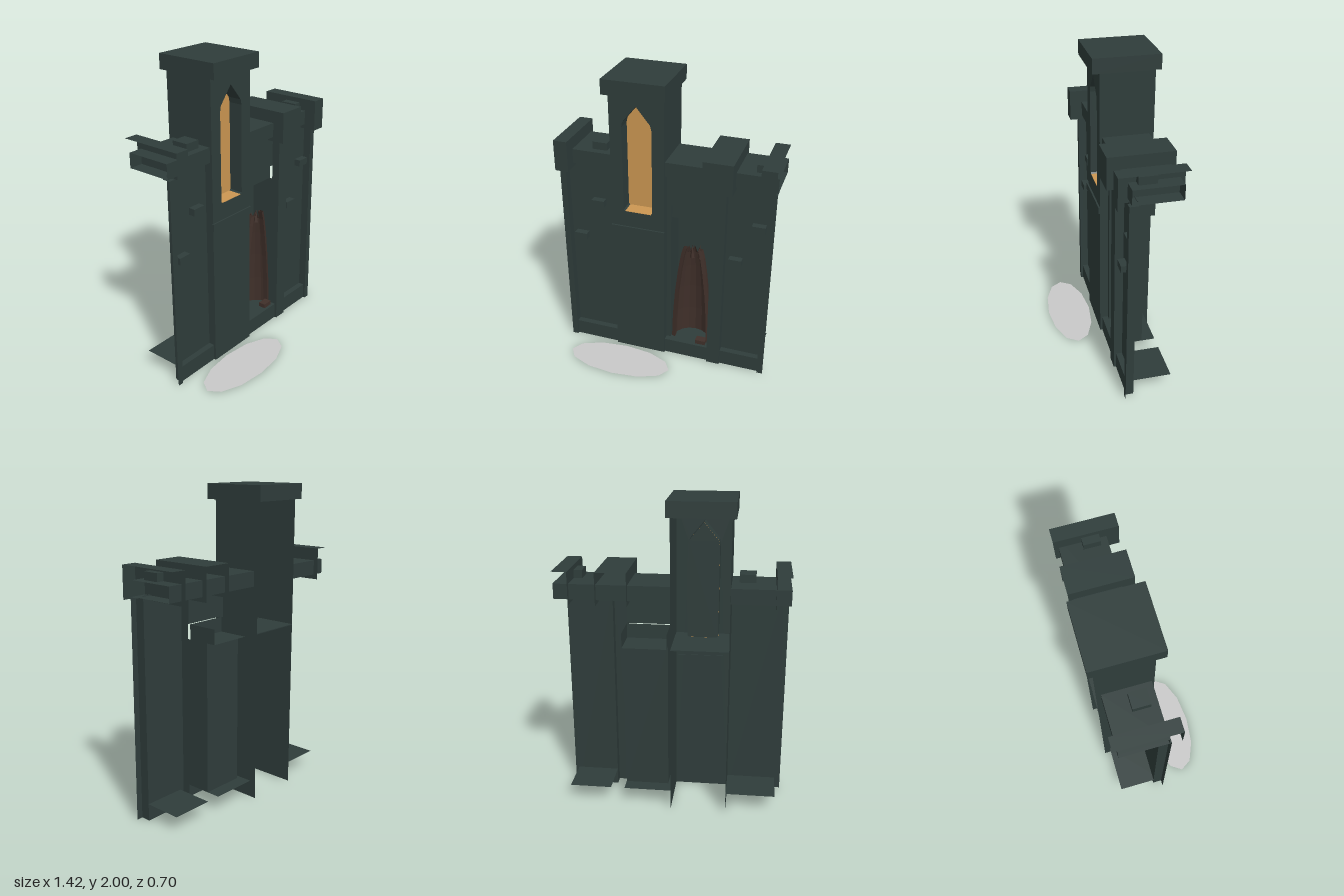
import * as THREE from 'three';

const mat = (name, color) => {
  const m = new THREE.MeshStandardMaterial({ color, side: THREE.DoubleSide });
  m.name = name;
  return m;
};

const SIDES = ['right', 'left', 'top', 'bottom', 'front', 'back'];

// Box given by its limits; sides listed in "open" are left out (+x is "right" here)
function boxGeo([x0, x1], [y0, y1], [z0, z1], open = []) {
  const g = new THREE.BoxGeometry(x1 - x0, y1 - y0, z1 - z0);
  g.translate((x0 + x1) / 2, (y0 + y1) / 2, (z0 + z1) / 2);
  const old = Array.from(g.index.array);
  g.setIndex(old.filter((_, i) => !open.includes(SIDES[Math.floor(i / 6)])));
  g.clearGroups();
  return g;
}

// Pointed window outline
function windowPoints() {
  return [[-0.265, 1.11], [-0.09, 1.11], [-0.08, 1.12], [-0.08, 1.69], [-0.088, 1.725],
    [-0.178, 1.835], [-0.268, 1.725], [-0.275, 1.69], [-0.275, 1.12]]
    .map(([x, y]) => new THREE.Vector2(x, y));
}

// Surface through rows of points
function loft(rows) {
  const n = rows[0].length, pos = rows.flat(2), idx = [];
  for (let r = 0; r < rows.length - 1; r++) {
    for (let i = 0; i < n - 1; i++) {
      const a = r * n + i, b = a + n;
      idx.push(a, a + 1, b + 1, a, b + 1, b);
    }
  }
  const g = new THREE.BufferGeometry();
  g.setAttribute('position', new THREE.Float32BufferAttribute(pos, 3));
  g.setIndex(idx);
  const flat = g.toNonIndexed();
  flat.computeVertexNormals();
  return flat;
}

export function createModel() {
  const model = new THREE.Group();
  const stone = mat('dark stone', 0x2f3d3b);
  const glow = mat('warm window', 0xcc9752);
  const wood = mat('brown wood', 0x40302a);
  const grey = mat('pale grey', 0xc9c9c9);

  const add = (name, geo, material) => {
    const m = new THREE.Mesh(geo, material);
    m.name = name;
    model.add(m);
    return m;
  };
  const box = (name, x, y, z, open, material = stone) => add(name, boxGeo(x, y, z, open), material);

  // Thin wall faces, open behind
  const wallZ = [-0.036, -0.03];
  box('leftBayWall', [-0.67, -0.355], [0, 1.4], wallZ);
  box('rightBayWall', [0.4, 0.67], [0, 1.4], wallZ);
  box('wallOverAlcove', [0, 0.31], [1.175, 1.4], wallZ);
  box('alcoveJamb', [0, 0.03], [0.11, 1.175], wallZ);

  // Plinths: front and top only
  for (const x of [[-0.67, -0.355], [0, 0.31], [0.4, 0.67]]) {
    box('plinth', x, [0, 0.11], [-0.28, 0.01], ['left', 'right', 'bottom', 'back']);
  }

  // Pilasters
  box('outerPilaster', [-0.71, -0.67], [0, 1.39], [-0.03, 0.025], ['left', 'back', 'bottom']);
  box('middlePilaster', [0.31, 0.4], [0, 1.39], [-0.03, 0.025], ['back', 'bottom']);
  box('outerPilaster', [0.67, 0.71], [0, 1.39], [-0.03, 0.025], ['right', 'back', 'bottom']);

  // Cornices
  for (const x of [[-0.71, -0.355], [0, 0.71]]) {
    box('cornice', x, [1.395, 1.49], [-0.29, 0.01], ['left', 'right']);
  }

  // Battlements, open below and behind
  const by = [1.365, 1.57], bz = [-0.32, 0.09];
  box('endMerlon', [-0.71, -0.62], by, bz, ['left', 'bottom', 'back']);
  box('middleMerlon', [0.26, 0.45], by, bz, ['bottom', 'back']);
  box('endMerlon', [0.615, 0.71], by, bz, ['right', 'bottom', 'back']);
  for (const x of [-0.45, 0.612]) {
    box('topStone', [x - 0.05, x + 0.05], [1.485, 1.54], [-0.147, -0.037], ['bottom']);
  }

  // Projecting wall stones
  for (const [x, y] of [[-0.462, 1.1], [-0.598, 0.83], [0.47, 0.83], [0.608, 1.1]]) {
    box('wallStone', [x - 0.043, x + 0.043], [y, y + 0.045], [-0.03, 0.015], ['back']);
  }

  // Tower: front with window hole, sides, inner floor, band and cap
  const front = new THREE.Shape([[-0.355, 0], [0, 0], [0, 1.92], [-0.355, 1.92]]
    .map(([x, y]) => new THREE.Vector2(x, y)));
  front.holes.push(new THREE.Path(windowPoints().reverse()));
  add('towerFront', new THREE.ShapeGeometry(front).translate(0, 0, 0.025), stone);
  box('towerSides', [-0.355, 0], [0, 1.92], [-0.32, 0.025], ['top', 'bottom', 'front', 'back']);
  box('towerFloor', [-0.355, 0], [1.1, 1.105], [-0.32, 0.02]);
  box('towerBand', [-0.36, 0.002], [0.952, 1.0], [0.02, 0.036], ['back']);
  box('towerCap', [-0.38, 0.022], [1.905, 2], [-0.35, 0.075], ['bottom']);

  // Window: stone reveal, glowing sill and pane, dark backing
  const outline = windowPoints();
  const ring = [...outline.slice(1), outline[0]];
  add('windowReveal', loft([0.025, -0.07].map(z => ring.map(p => [p.x, p.y, z]))), stone);
  box('windowSill', [-0.265, -0.09], [1.108, 1.112], [-0.07, 0.024], [], glow);
  const pane = new THREE.Shape(outline);
  add('windowPane', new THREE.ShapeGeometry(pane).translate(0, 0, -0.069), glow);
  add('windowBacking', new THREE.ShapeGeometry(pane).translate(0, 0, -0.074), stone);

  // Alcove with recessed lintel
  box('alcove', [0.03, 0.31], [0.11, 1.08], [-0.19, -0.03], ['front', 'top', 'bottom']);
  box('lintel', [0.03, 0.31], [1.08, 1.175], [-0.25, -0.05], ['back', 'top']);

  // Doorway shell: tapering faceted hollow, open at the front
  const profile = [[0.11, 0.125], [0.3, 0.12], [0.5, 0.106], [0.68, 0.086], [0.8, 0.068], [0.86, 0.052]];
  const cx = 0.172, zFront = -0.055;
  add('doorwayShell', loft(profile.map(([y, r], k) => Array.from({ length: 9 }, (_, i) => {
    const a = Math.PI * i / 8;
    const jag = k === profile.length - 1 && i % 2 ? -0.045 : 0;
    return [cx - r * Math.cos(a), y + jag, zFront - r * Math.sin(a) * 0.95];
  }))), wood);

  // Curved ribs along both edges of the doorway
  for (const s of [-1, 1]) {
    const rib = profile.map(([y, r]) => {
      const o = cx + s * (r + 0.012), i = cx + s * (r - 0.012);
      return [[i, y, zFront - 0.02], [i, y, zFront + 0.015], [o, y, zFront + 0.008],
        [o, y, zFront - 0.02], [i, y, zFront - 0.02]];
    });
    add('doorwayRib', loft(rib), wood);
  }
  for (const [x, h] of [[0.158, 0.87], [0.212, 0.875]]) {
    const tip = new THREE.ConeGeometry(0.016, 0.1, 4).translate(x, h - 0.05, -0.09);
    add('doorwayTip', tip.toNonIndexed(), wood).geometry.computeVertexNormals();
  }
  box('doorstep', [0.215, 0.285], [0.11, 0.14], [-0.06, -0.01], [], wood);

  // Flat oval on the ground
  const oval = new THREE.CircleGeometry(1, 12).rotateX(-Math.PI / 2);
  oval.scale(0.363, 1, 0.15).translate(-0.273, 0.003, 0.2);
  add('groundOval', oval, grey);

  return model;
}
